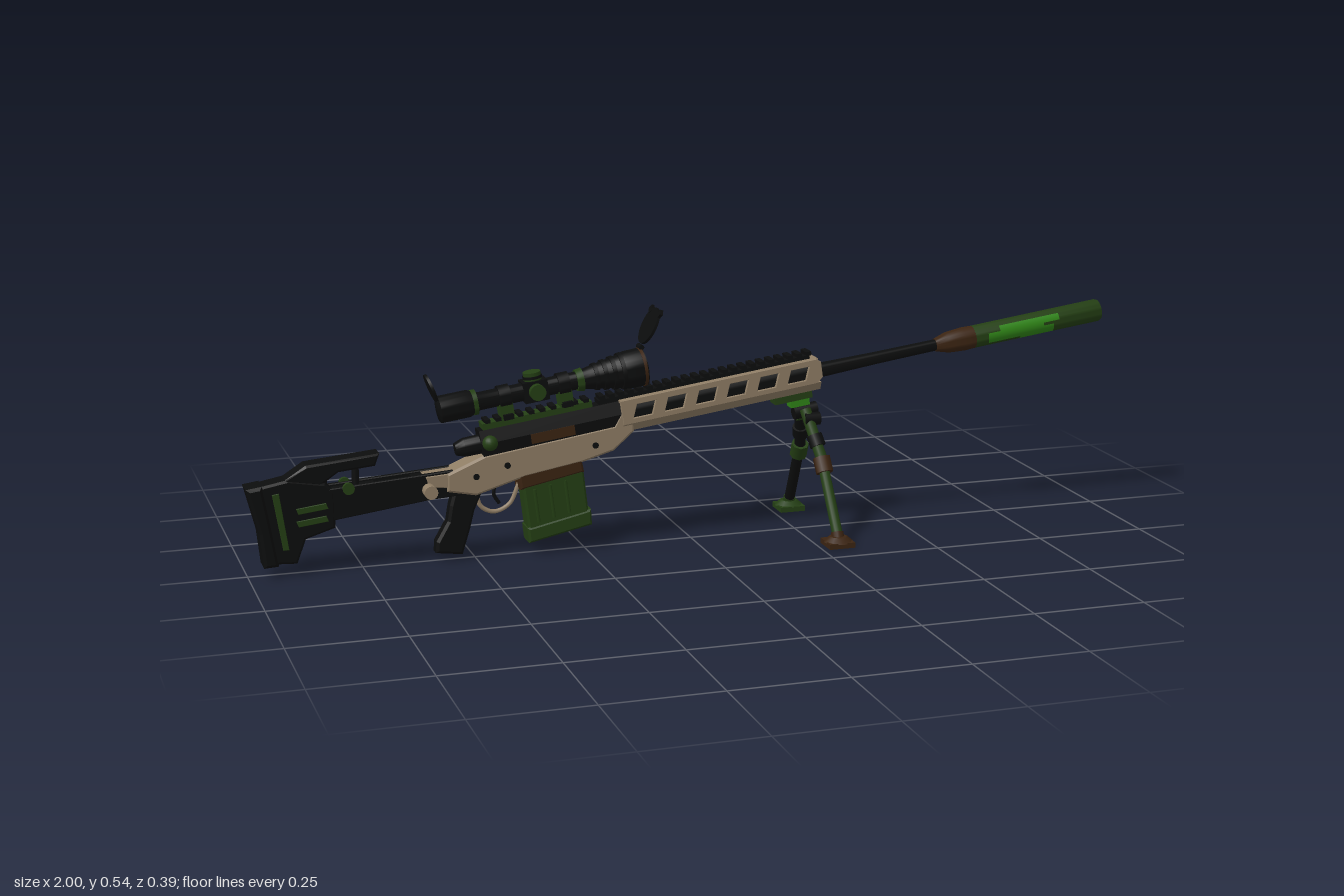
import * as THREE from 'three';
import { toCreasedNormals } from 'three/addons/utils/BufferGeometryUtils.js';

const mat = (name, color) => {
  const m = new THREE.MeshStandardMaterial({ color });
  m.name = name;
  return m;
};

export function createModel() {
  const black = mat('black', 0x0c0d0d), green = mat('dark green', 0x243f14);
  const lime = mat('bright green', 0x2f8417), tan = mat('tan', 0x8f7d65);
  const brown = mat('brown', 0x3b2412);

  const model = new THREE.Group();
  model.name = 'longRifle';
  // Everything aligned with the bore lives in a tilted group
  const bore = new THREE.Group();
  bore.name = 'boreAssembly';
  bore.position.y = 0.324;
  bore.rotation.z = 0.1405;
  model.add(bore);

  const add = (parent, name, geo, material, x = 0, y = 0, z = 0) => {
    const m = new THREE.Mesh(geo, material);
    m.name = name;
    m.position.set(x, y, z);
    parent.add(m);
    return m;
  };
  const box = (parent, name, material, w, h, d, x, y, z = 0) =>
    add(parent, name, new THREE.BoxGeometry(w, h, d), material, x, y, z);
  // Revolved part along x from [x, radius] pairs
  const lathe = (name, material, pts, v = 0, sides = 24) => {
    const g = new THREE.LatheGeometry(pts.map(([u, r]) => new THREE.Vector2(r, u)), sides);
    g.rotateZ(-Math.PI / 2);
    return add(bore, name, toCreasedNormals(g, 0.6), material, 0, v, 0);
  };
  // Side profile extruded across z, with a small bevel
  const slab = (parent, name, material, pts, half, z = 0, holes = [], bevel = 0.005) => {
    const toV = (p) => p.map(([x, y]) => new THREE.Vector2(x, y));
    const s = new THREE.Shape(toV(pts));
    holes.forEach((h) => s.holes.push(new THREE.Path(toV(h))));
    const g = new THREE.ExtrudeGeometry(s, {
      depth: 2 * (half - bevel), bevelEnabled: bevel > 0, bevelThickness: bevel,
      bevelSize: bevel, bevelOffset: -bevel, bevelSegments: 1,
    });
    g.translate(0, 0, -(half - bevel));
    return add(parent, name, g, material, 0, 0, z);
  };
  // Cross-section in (z, y) extruded along x
  const beam = (name, material, pts, x0, x1) => {
    const s = new THREE.Shape(pts.map(([z, y]) => new THREE.Vector2(z, y)));
    const g = new THREE.ExtrudeGeometry(s, { depth: x1 - x0, bevelEnabled: false });
    g.rotateY(Math.PI / 2);
    return add(bore, name, g, material, x0);
  };
  // Round rod between two points
  const rod = (parent, name, material, a, b, r0, r1 = r0, sides = 16) => {
    const A = new THREE.Vector3(...a), B = new THREE.Vector3(...b), d = B.clone().sub(A);
    const m = add(parent, name, new THREE.CylinderGeometry(r1, r0, d.length(), sides), material);
    m.position.copy(A).add(B).multiplyScalar(0.5);
    m.quaternion.setFromUnitVectors(new THREE.Vector3(0, 1, 0), d.normalize());
    return m;
  };
  const tube = (name, material, pts, r) => add(model, name, new THREE.TubeGeometry(
    new THREE.CatmullRomCurve3(pts.map(([x, y]) => new THREE.Vector3(x, y, 0))), 24, r, 8), material);

  // Barrel, collar and suppressor
  lathe('barrel', black, [[-0.2, 0], [-0.2, 0.019], [0.3, 0.017], [0.45, 0.014], [0.62, 0.013], [0.62, 0]]);
  lathe('muzzleCollar', brown, [[0.595, 0], [0.595, 0.015], [0.625, 0.024], [0.665, 0.027], [0.69, 0.026], [0.69, 0]]);
  lathe('suppressor', green, [[0.68, 0.0], [0.68, 0.025], [0.69, 0.026], [1.005, 0.026], [1.01, 0.024],
    [1.01, 0.01], [0.98, 0.01]], 0, 28);
  lathe('muzzleHole', black, [[0.975, 0.011], [0.99, 0.0105], [0.99, 0]]);
  [[0.72, 0.86, -0.25, 0.95], [0.75, 0.9, -0.75, 0.6], [0.8, 0.885, 0.1, 0.9]].forEach(([a, b, t, l], i) => {
    const g = new THREE.CylinderGeometry(0.0266 + i * 0.0002, 0.0266 + i * 0.0002, b - a, 10, 1, true, t, l);
    g.rotateZ(-Math.PI / 2);
    add(bore, 'suppressorPatch', g, lime, (a + b) / 2);
  });

  // Handguard: slotted side plates, lower channel, end collar, inner sleeve
  const slots = [];
  for (let i = 0; i < 6; i++) {
    const u = -0.145 + i * 0.073;
    slots.push([[u, -0.008], [u + 0.044, -0.008], [u + 0.056, 0.022], [u + 0.012, 0.022]]);
  }
  for (const s of [-1, 1]) {
    slab(bore, 'handguardSide', tan, [[-0.17, -0.02], [0.29, -0.02], [0.305, -0.008], [0.305, 0.028], [0.295, 0.036],
      [-0.17, 0.036]], 0.004, s * 0.03, slots, 0.001);
  }
  beam('handguardChannel', tan, [[-0.034, -0.018], [-0.02, -0.038], [0.02, -0.038], [0.034, -0.018]], -0.17, 0.3);
  box(bore, 'handguardTop', tan, 0.47, 0.006, 0.056, 0.065, 0.033);
  lathe('innerSleeve', black, [[-0.17, 0], [-0.17, 0.025], [0.285, 0.025], [0.285, 0]]);

  // Accessory rail with teeth
  box(bore, 'railBase', black, 0.5, 0.01, 0.034, 0.035, 0.039);
  for (let i = 0; i < 23; i++) box(bore, 'railTooth', black, 0.012, 0.009, 0.038, -0.205 + i * 0.0222, 0.048);

  // Receiver
  beam('receiver', black, [[-0.028, -0.04], [0.028, -0.04], [0.03, 0.005], [0.018, 0.033], [-0.018, 0.033],
    [-0.03, 0.005]], -0.49, -0.165);
  lathe('boltShroud', black, [[-0.545, 0], [-0.545, 0.014], [-0.525, 0.021], [-0.45, 0.022], [-0.45, 0]]);
  box(bore, 'ejectionPort', brown, 0.1, 0.022, 0.004, -0.33, -0.006, 0.0295);
  box(bore, 'scopeBase', green, 0.25, 0.014, 0.036, -0.355, 0.04);
  for (let i = 0; i < 10; i++) box(bore, 'scopeBaseTooth', black, 0.012, 0.008, 0.038, -0.467 + i * 0.025, 0.05);

  // Bolt handle
  rod(model, 'boltArm', black, [-0.47, 0.262, 0.015], [-0.475, 0.271, 0.058], 0.007);
  add(model, 'boltKnob', new THREE.SphereGeometry(0.017, 16, 12), green, -0.476, 0.272, 0.066);

  // Scope
  const sv = 0.095;
  lathe('scopeTube', black, [[-0.57, 0], [-0.568, 0.026], [-0.565, 0.03], [-0.5, 0.03], [-0.475, 0.02], [-0.25, 0.02],
    [-0.225, 0.025], [-0.15, 0.038], [-0.14, 0.042], [-0.097, 0.043], [-0.095, 0.036], [-0.105, 0.033], [-0.105, 0]], sv, 28);
  for (let i = 0; i < 4; i++) {
    const u = -0.215 + i * 0.02, r = 0.03 + i * 0.0036;
    lathe('objectiveRib', black, [[u, 0], [u, r], [u + 0.009, r + 0.001], [u + 0.009, 0]], sv);
  }
  lathe('objectiveRim', brown, [[-0.106, 0.04], [-0.106, 0.0437], [-0.099, 0.0437], [-0.099, 0.04]], sv);
  lathe('eyepieceRing', green, [[-0.492, 0.02], [-0.492, 0.028], [-0.482, 0.028], [-0.482, 0.015]], sv);
  lathe('focusRing', green, [[-0.255, 0.01], [-0.255, 0.024], [-0.24, 0.026], [-0.24, 0.01]], sv);
  for (const u of [-0.42, -0.285]) {
    lathe('scopeRing', black, [[u - 0.013, 0], [u - 0.013, 0.025], [u + 0.013, 0.025], [u + 0.013, 0]], sv);
    box(bore, 'scopeRingFoot', green, 0.03, 0.034, 0.034, u, 0.064);
    box(bore, 'scopeRingClamp', black, 0.022, 0.012, 0.052, u, 0.052);
  }
  box(bore, 'turretBlock', black, 0.055, 0.046, 0.046, -0.35, sv);
  rod(bore, 'elevationTurret', green, [-0.35, sv, 0], [-0.35, 0.136, 0], 0.02);
  rod(bore, 'elevationCap', black, [-0.35, 0.122, 0], [-0.35, 0.128, 0], 0.022);
  for (const s of [-1, 1]) rod(bore, 'sideTurret', green, [-0.35, sv, 0], [-0.35, sv, s * 0.038], 0.018);

  // Open flip caps
  const flipCap = (name, x, y, r, angle) => {
    const g = new THREE.Group();
    g.name = name;
    g.position.set(x, y, 0);
    g.rotation.z = angle;
    add(g, 'capDisc', new THREE.CylinderGeometry(r, r, 0.006, 28), black);
    model.add(g);
    return g;
  };
  const front = flipCap('frontFlipCap', -0.096, 0.495, 0.043, 1.11);
  for (const s of [-1, 1]) {
    const ear = box(front, 'capEar', black, 0.018, 0.007, 0.014, 0.033, 0, s * 0.031);
    ear.rotation.y = -s * 0.75;
  }
  rod(model, 'frontCapHinge', black, [-0.117, 0.449, -0.012], [-0.117, 0.449, 0.012], 0.006);
  flipCap('rearFlipCap', -0.59, 0.388, 0.032, -1.2);

  // Chassis
  slab(model, 'chassis', tan, [[-0.565, 0.2], [-0.48, 0.236], [-0.187, 0.281], [-0.165, 0.322], [-0.14, 0.325],
    [-0.14, 0.265], [-0.187, 0.224], [-0.26, 0.203], [-0.39, 0.18], [-0.5, 0.147], [-0.565, 0.16]], 0.031);
  slab(model, 'magazineWell', brown, [[-0.405, 0.19], [-0.262, 0.216], [-0.255, 0.18], [-0.4, 0.15]], 0.029);
  slab(model, 'chassisTail', tan, [[-0.615, 0.2], [-0.55, 0.205], [-0.55, 0.165], [-0.605, 0.17]], 0.028);
  rod(model, 'foldingKnob', tan, [-0.605, 0.168, 0.02], [-0.605, 0.168, 0.055], 0.015);
  for (const s of [-1, 1]) for (const [x, y] of [[-0.5, 0.19], [-0.43, 0.21], [-0.23, 0.24]])
    rod(model, 'chassisBolt', black, [x, y, s * 0.03], [x, y, s * 0.033], 0.007);

  // Magazine with ribs and floor plate
  slab(model, 'magazine', green, [[-0.396, 0.165], [-0.257, 0.195], [-0.243, 0.068], [-0.38, 0.038]], 0.026);
  slab(model, 'magazineFloor', green, [[-0.386, 0.062], [-0.24, 0.094], [-0.238, 0.058], [-0.382, 0.027]], 0.029);
  for (const s of [-1, 1]) for (let i = 0; i < 3; i++) {
    const x = -0.36 + i * 0.035, y = 0.075 + i * 0.0075;
    rod(model, 'magazineRib', green, [x, y, s * 0.026], [x - 0.009, y + 0.075, s * 0.026], 0.004, 0.004, 6);
  }

  // Grip, trigger and guard
  slab(model, 'grip', black, [[-0.545, 0.165], [-0.48, 0.16], [-0.502, 0.11], [-0.512, 0.07], [-0.53, 0.012], [-0.59, 0.02],
    [-0.588, 0.045], [-0.562, 0.09], [-0.556, 0.125]], 0.018, 0, [], 0.006);
  tube('triggerGuard', tan, [[-0.495, 0.15], [-0.485, 0.115], [-0.455, 0.1], [-0.42, 0.115], [-0.398, 0.16]], 0.005);
  tube('trigger', black, [[-0.45, 0.165], [-0.455, 0.14], [-0.443, 0.118]], 0.004);

  // Stock: butt, pad, cheek rest and open-centred arm
  slab(model, 'butt', black, [[-0.985, 0.2], [-0.91, 0.214], [-0.83, 0.2], [-0.81, 0.18], [-0.81, 0.1], [-0.875, 0.08],
    [-0.895, 0.027], [-0.955, 0.03]], 0.027);
  slab(model, 'buttPad', black, [[-1, 0.2], [-0.965, 0.205], [-0.95, 0.12], [-0.935, 0.025], [-0.967, 0.023],
    [-0.975, 0.1]], 0.033, 0, [], 0.007);
  slab(model, 'cheekRest', black, [[-0.92, 0.21], [-0.87, 0.242], [-0.71, 0.257], [-0.72, 0.23], [-0.8, 0.222],
    [-0.84, 0.195]], 0.025);
  for (const s of [-1, 1]) {
    slab(model, 'stockRail', black, [[-0.85, 0.185], [-0.55, 0.207], [-0.53, 0.15], [-0.6, 0.145], [-0.85, 0.112]],
      0.006, s * 0.02, [], 0.002);
    slab(model, 'stockInset', green, [[-0.895, 0.15], [-0.83, 0.158], [-0.825, 0.145], [-0.89, 0.137]], 0.004, s * 0.026, [], 0.001);
    slab(model, 'stockInset', green, [[-0.895, 0.122], [-0.83, 0.13], [-0.825, 0.117], [-0.89, 0.109]], 0.004, s * 0.026, [], 0.001);
    slab(model, 'stockStripe', green, [[-0.945, 0.185], [-0.93, 0.187], [-0.912, 0.06], [-0.925, 0.06]], 0.003, s * 0.026, [], 0.001);
    rod(model, 'cheekKnob', green, [-0.78, 0.185, s * 0.02], [-0.78, 0.185, s * 0.03], 0.013);
  }
  slab(model, 'stockRearFill', black, [[-0.85, 0.18], [-0.72, 0.19], [-0.72, 0.15], [-0.85, 0.117]], 0.017);
  slab(model, 'stockFrontFill', black, [[-0.64, 0.197], [-0.55, 0.203], [-0.53, 0.153], [-0.64, 0.145]], 0.017);
  for (const x of [-0.83, -0.76]) rod(model, 'cheekPost', black, [x, 0.17, 0], [x, 0.235, 0], 0.008);

  // Bipod mount
  box(bore, 'bipodMount', green, 0.09, 0.016, 0.036, 0.235, -0.046);
  box(bore, 'bipodClamp', lime, 0.045, 0.02, 0.03, 0.25, -0.06);
  rod(model, 'bipodLever', green, [0.25, 0.295, 0], [0.25, 0.295, -0.053], 0.009);
  rod(model, 'bipodPivot', black, [0.245, 0.272, 0], [0.3, 0.28, 0], 0.016);

  // Bipod legs
  for (const s of [-1, 1]) {
    const legMat = s > 0 ? green : black, trim = s > 0 ? brown : green;
    rod(model, 'upperLeg', legMat, [0.268, 0.282, s * 0.015], [0.288, 0.18, s * 0.07], 0.013);
    rod(model, 'legJoint', s > 0 ? black : green, [0.262, 0.262, s * 0.026], [0.298, 0.262, s * 0.026], 0.015);
    rod(model, 'legCollar', black, [0.279, 0.228, s * 0.045], [0.284, 0.205, s * 0.058], 0.018);
    rod(model, 'lowerLeg', legMat, [0.288, 0.185, s * 0.067], [0.295, 0.025, s * 0.158], 0.012);
    rod(model, 'legClamp', trim, [0.288, 0.181, s * 0.069], [0.29, 0.15, s * 0.087], 0.02, 0.02, 8);
    rod(model, 'ankle', trim, [0.295, 0.03, s * 0.156], [0.295, 0.008, s * 0.165], 0.014);
    rod(model, 'footTop', trim, [0.295, 0.01, s * 0.163], [0.295, 0.022, s * 0.163], 0.034, 0.02, 8);
    box(model, 'foot', trim, 0.06, 0.012, 0.061, 0.295, 0.006, s * 0.161);
  }
  return model;
}
